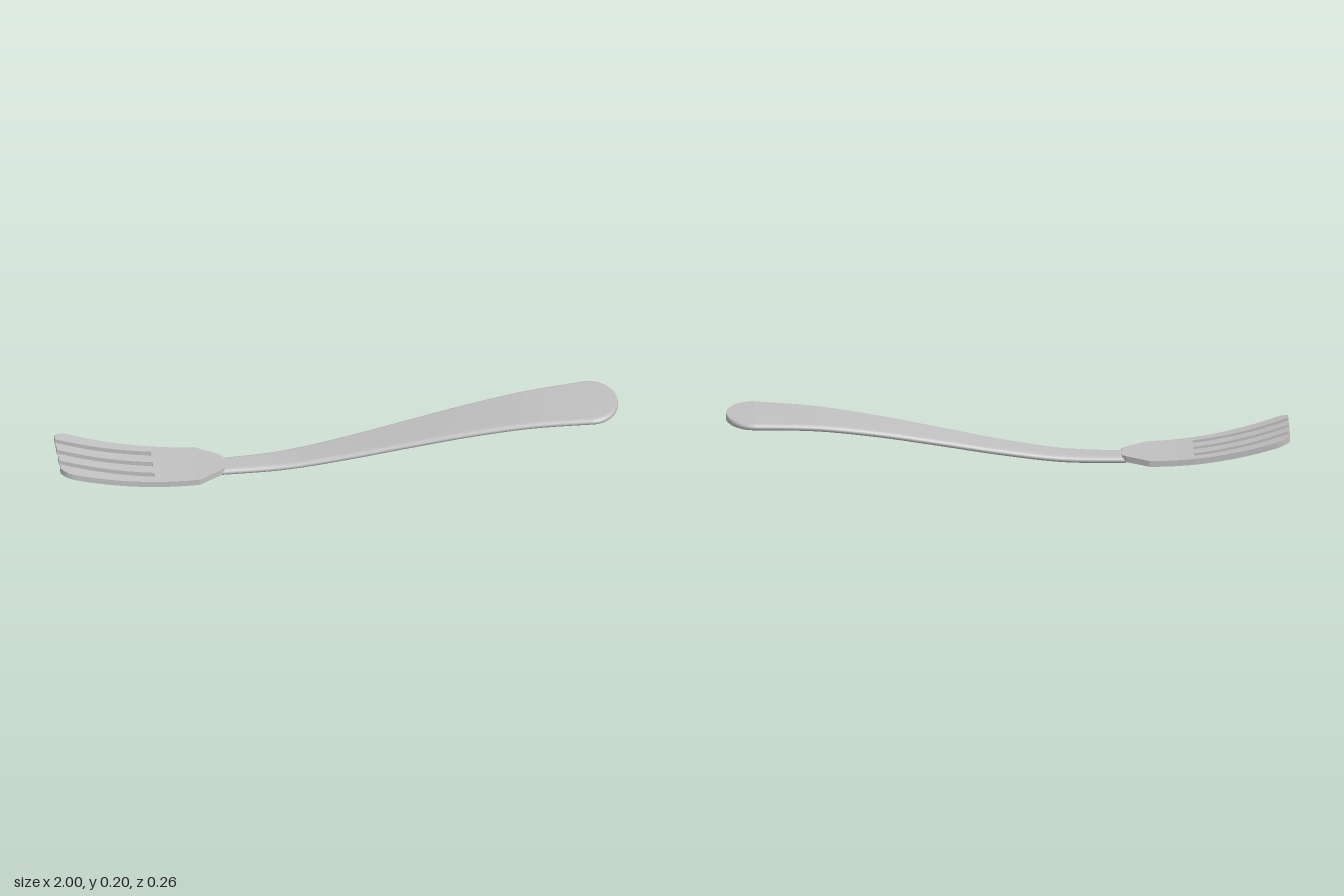
import * as THREE from 'three';

const steel = new THREE.MeshStandardMaterial({ color: 0xc0c0c0 });
steel.name = 'steel';

// Move every vertex of a geometry by a rule, then refresh the normals
function reshape(geometry, rule) {
  const p = geometry.attributes.position;
  for (let i = 0; i < p.count; i++) p.setXYZ(i, ...rule(p.getX(i), p.getY(i), p.getZ(i)));
  geometry.computeVertexNormals();
  return geometry;
}

function part(name, geometry) {
  const mesh = new THREE.Mesh(geometry, steel);
  mesh.name = name;
  return mesh;
}

// Half width of the head along its length, with rounded tip corners
const headOutline = [[-1, 0.104], [-0.989, 0.117], [-0.977, 0.124], [-0.955, 0.128], [-0.66, 0.111], [-0.5, 0.101], [-0.42, 0.05], [-0.405, 0.035]];
function headHalfWidth(x) {
  const i = Math.max(1, headOutline.findIndex(([px]) => px >= x - 1e-6));
  const [[x0, w0], [x1, w1]] = [headOutline[i - 1], headOutline[i]];
  return THREE.MathUtils.mapLinear(x, x0, x1, w0, w1);
}
const headY = (x) => 0.022 + 0.09 * (Math.max(0, -0.5 - x) / 0.5) ** 2;

// Curved strip of the head between two edge rules z0(x) and z1(x)
function headStrip(name, xa, xb, segments, z0, z1) {
  return part(name, reshape(new THREE.BoxGeometry(1, 1, 1, segments, 1, 1), (u, v, w) => {
    const x = THREE.MathUtils.lerp(xa, xb, u + 0.5);
    return [x, headY(x) + v * 0.022, THREE.MathUtils.lerp(z0(x), z1(x), w + 0.5)];
  }));
}

// Flat rounded bar running along x; section(t) gives x, y, half width
function bar(name, segments, section) {
  const geometry = new THREE.CylinderGeometry(1, 1, 1, 32, segments).rotateZ(-Math.PI / 2);
  return part(name, reshape(geometry, (u, c, s) => {
    const { x, y, w } = section(u + 0.5);
    const r = Math.min(0.02, w);
    const flat = Math.sign(s) * Math.min(1, Math.abs(s) * 5.2) * (w - r);
    return [x, y + 0.013 * c, flat + r * s];
  }));
}

export function createModel() {
  const fork = new THREE.Group();
  fork.name = 'fork';

  // Head: solid base and four tines
  const head = new THREE.Group();
  head.name = 'head';
  const slotEnd = -0.66;
  head.add(headStrip('headBase', slotEnd, -0.405, 51, (x) => -headHalfWidth(x), headHalfWidth));
  head.add(
    headStrip('outerTineLeft', -1, slotEnd, 32, () => 0.078, headHalfWidth),
    headStrip('innerTineLeft', -1, slotEnd, 32, () => 0.012, () => 0.054),
    headStrip('innerTineRight', -1, slotEnd, 32, () => -0.054, () => -0.012),
    headStrip('outerTineRight', -1, slotEnd, 32, (x) => -headHalfWidth(x), () => -0.078),
  );

  // Handle: widening bar along a gentle S curve
  const spine = new THREE.SplineCurve([
    [-0.42, 0.013], [-0.2, 0.022], [0.02, 0.055], [0.24, 0.098], [0.46, 0.14], [0.68, 0.172], [0.9, 0.186],
  ].map(([x, y]) => new THREE.Vector2(x, y)));
  const handle = bar('handle', 40, (t) => {
    const { x, y } = spine.getPoint(t);
    return { x, y, w: 0.045 + 0.083 * Math.max(0, (x + 0.42) / 1.32) ** 1.35 };
  });

  // Rounded end of the handle
  const end = bar('handleEnd', 20, (t) => {
    const a = t * Math.PI / 2;
    return { x: 0.9 + 0.1 * Math.sin(a), y: 0.186, w: Math.max(0.0005, 0.128 * Math.cos(a)) };
  });

  fork.add(head, handle, end);
  return fork;
}
